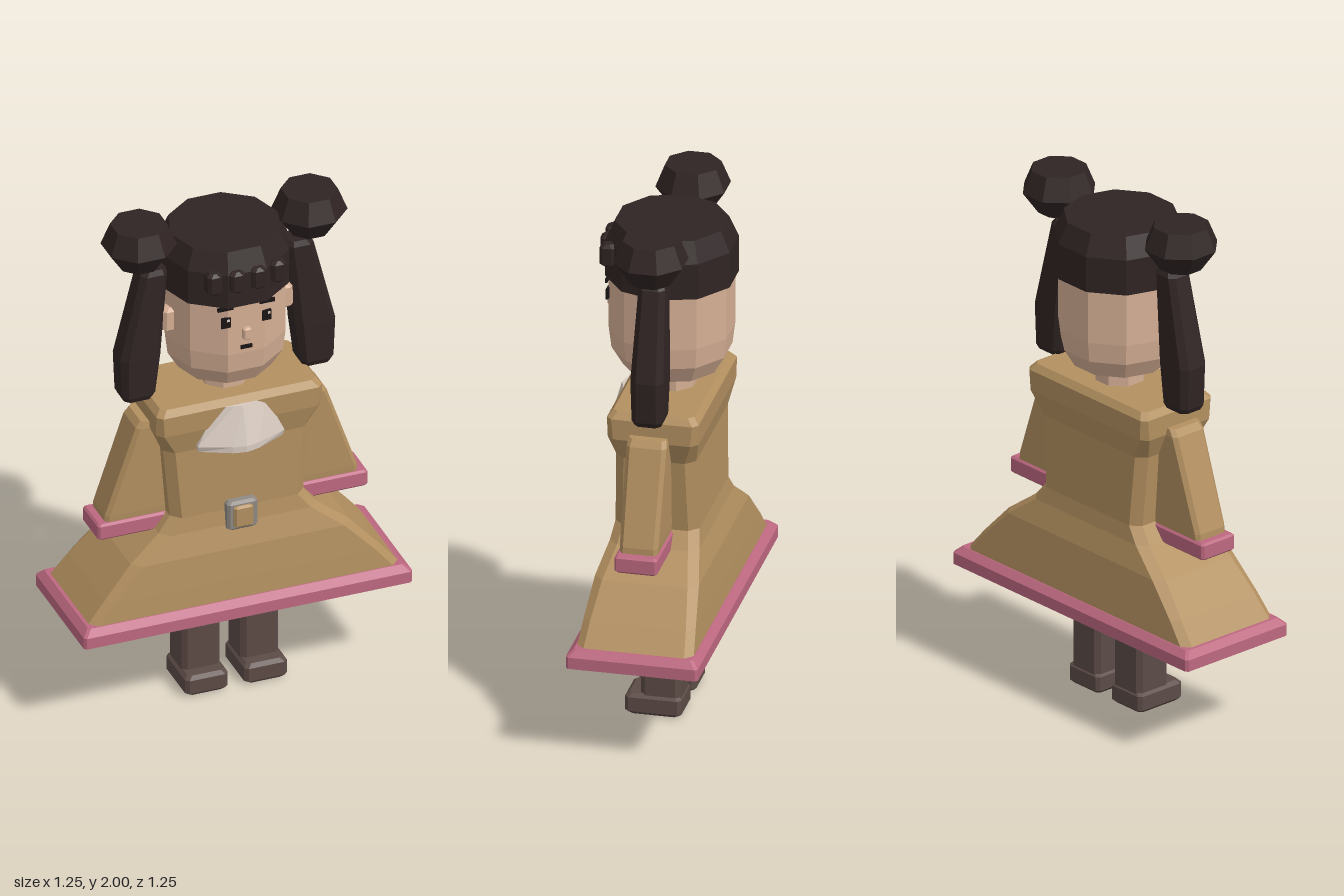
import * as THREE from 'three';

const mat = (name, color) => {
  const m = new THREE.MeshStandardMaterial({ color });
  m.name = name;
  return m;
};

// Closed faceted solid through rings of [x, y, z] points, bottom to top
function loft(rings) {
  const pos = [];
  const n = rings[0].length;
  const tri = (a, b, c) => pos.push(...a, ...b, ...c);
  for (let k = 0; k + 1 < rings.length; k++) {
    const lo = rings[k], hi = rings[k + 1];
    for (let i = 0; i < n; i++) {
      const j = (i + 1) % n;
      tri(lo[i], lo[j], hi[j]);
      tri(lo[i], hi[j], hi[i]);
    }
  }
  const bottom = rings[0], top = rings[rings.length - 1];
  for (let i = 1; i + 1 < n; i++) {
    tri(bottom[0], bottom[i + 1], bottom[i]);
    tri(top[0], top[i], top[i + 1]);
  }
  const g = new THREE.BufferGeometry();
  g.setAttribute('position', new THREE.Float32BufferAttribute(pos, 3));
  g.computeVertexNormals();
  return g;
}

// Rectangle with cut corners at height y
const rect = (y, x0, x1, z0, z1, c) => [
  [x0 + c, z1], [x1 - c, z1], [x1, z1 - c], [x1, z0 + c],
  [x1 - c, z0], [x0 + c, z0], [x0, z0 + c], [x0, z1 - c],
].map(([x, z]) => [x, y, z]);

// Sections [y, x0, x1, z0, z1, cut], mirrored when side is -1
const block = (sections, side = 1) => loft(sections.map(([y, a, b, z0, z1, c]) =>
  side > 0 ? rect(y, a, b, z0, z1, c) : rect(y, -b, -a, z0, z1, c)));

// Box with bevelled edges
const bevelBox = (x0, x1, y0, y1, z0, z1, c, side = 1) => block([
  [y0, x0 + c, x1 - c, z0 + c, z1 - c, c], [y0 + c, x0, x1, z0, z1, c],
  [y1 - c, x0, x1, z0, z1, c], [y1, x0 + c, x1 - c, z0 + c, z1 - c, c]], side);

// Faceted solid of revolution with a flat side to the front
function turned(profile, sides) {
  const g = new THREE.LatheGeometry(profile.map(([r, y]) => new THREE.Vector2(r, y)),
    sides, Math.PI / sides).toNonIndexed();
  g.computeVertexNormals();
  return g;
}

export function createModel() {
  const coat = mat('coat tan', 0xb39060);
  const trim = mat('trim pink', 0xbd6880);
  const hair = mat('hair dark brown', 0x2f2423);
  const skin = mat('skin', 0xd6af95);
  const boot = mat('boot brown', 0x5c4b46);
  const cloth = mat('collar white', 0xd8cbc1);
  const metal = mat('buckle grey', 0x8f8984);
  const ink = mat('face black', 0x191415);

  const model = new THREE.Group();
  const body = new THREE.Group();
  body.name = 'girl';
  body.rotation.y = Math.PI / 4;
  model.add(body);
  const add = (name, geometry, material, x = 0, y = 0, z = 0) => {
    const m = new THREE.Mesh(geometry, material);
    m.name = name;
    m.position.set(x, y, z);
    body.add(m);
    return m;
  };
  const plate = (name, w, h, d, material, x, y, z) =>
    add(name, new THREE.BoxGeometry(w, h, d), material, x, y, z);

  // Coat: flared skirt, narrow waist, square shoulders
  add('coat', block([
    [0.44, 0.615, 0.22, 0.03], [0.53, 0.54, 0.21, 0.03], [0.65, 0.43, 0.195, 0.035],
    [0.74, 0.31, 0.168, 0.035], [0.8, 0.262, 0.158, 0.035], [1.08, 0.285, 0.15, 0.035],
    [1.17, 0.325, 0.17, 0.025], [1.25, 0.325, 0.172, 0.02], [1.275, 0.305, 0.152, 0.02],
  ].map(([y, x, z, c]) => [y, -x, x, -z, z, c])), coat);
  add('hem', block([
    [0.38, 0.645, 0.248, 0.01], [0.425, 0.645, 0.248, 0.01], [0.45, 0.62, 0.223, 0.01],
  ].map(([y, x, z, c]) => [y, -x, x, -z, z, c])), trim);

  // Collar with a raised middle
  const collarRing = (y, w, m, zSide, zMid) => [
    [-w, y, zSide], [-m, y, zMid], [0, y, zMid + 0.01], [m, y, zMid],
    [w, y, zSide], [w, y, 0.12], [-w, y, 0.12]];
  add('collar', loft([collarRing(1.075, 0.165, 0.05, 0.165, 0.22),
    collarRing(1.1, 0.17, 0.05, 0.172, 0.22),
    collarRing(1.25, 0.1, 0.025, 0.165, 0.178)]), cloth);

  // Belt buckle
  add('buckleFrame', bevelBox(-0.06, 0.06, 0.72, 0.84, 0.13, 0.19, 0.01), metal);
  add('buckleCentre', bevelBox(-0.038, 0.038, 0.735, 0.825, 0.15, 0.203, 0.008), coat);

  // Neck and head
  add('neck', turned([[0.095, 1.25], [0.095, 1.38]], 8), skin);
  add('head', turned([[0, 1.35], [0.18, 1.35], [0.222, 1.42], [0.232, 1.5],
    [0.232, 1.75], [0, 1.75]], 10), skin);
  add('hairCap', turned([[0, 1.71], [0.246, 1.71], [0.246, 1.85], [0.21, 1.93], [0, 1.93]], 10), hair);

  // Fringe blocks
  [-0.125, -0.042, 0.042, 0.125].forEach((x) => {
    const z = Math.abs(x) > 0.1 ? 0.208 : 0.225;
    add('fringe', bevelBox(x - 0.029, x + 0.029, 1.775, 1.865, z - 0.03, z + 0.03, 0.012), hair);
  });

  // Nose and mouth
  add('nose', bevelBox(-0.016, 0.016, 1.56, 1.61, 0.2, 0.24, 0.006), skin);
  plate('mouth', 0.045, 0.014, 0.009, ink, 0, 1.527, 0.223);

  // Paired parts
  for (const s of [-1, 1]) {
    const side = s > 0 ? 'left' : 'right';
    add(side + 'Leg', bevelBox(0.04, 0.19, 0.06, 0.4, -0.075, 0.075, 0.018, s), boot);
    add(side + 'Shoe', bevelBox(0.032, 0.2, 0.005, 0.088, -0.08, 0.132, 0.014, s), boot);
    add(side + 'Sleeve', block([
      [0.79, 0.24, 0.497, -0.06, 0.08, 0.012], [0.82, 0.24, 0.495, -0.062, 0.082, 0.015],
      [1.17, 0.24, 0.375, -0.065, 0.085, 0.015], [1.195, 0.24, 0.355, -0.06, 0.08, 0.015]], s), coat);
    add(side + 'Cuff', bevelBox(0.24, 0.53, 0.73, 0.797, -0.068, 0.092, 0.008, s), trim);
    add(side + 'Ear', bevelBox(0.2, 0.255, 1.535, 1.635, -0.01, 0.05, 0.012, s), skin);
    add(side + 'Bun', turned([[0, 1.83], [0.08, 1.83], [0.14, 1.915], [0.105, 2], [0, 2]], 8),
      hair, s * 0.335, 0, 0);
    add(side + 'Pigtail', block([
      [1.27, 0.295, 0.405, -0.05, 0.05, 0.018], [1.29, 0.285, 0.415, -0.058, 0.058, 0.02],
      [1.45, 0.265, 0.422, -0.062, 0.062, 0.024], [1.79, 0.235, 0.34, -0.05, 0.05, 0.02],
      [1.81, 0.24, 0.325, -0.04, 0.04, 0.018]], s), hair);
    plate(side + 'Eye', 0.036, 0.042, 0.009, ink, s * 0.08, 1.643, 0.221);
    plate(side + 'EyeGlint', 0.01, 0.01, 0.004, cloth, s * 0.08 + 0.008, 1.653, 0.225);
    plate(side + 'Brow', 0.06, 0.014, 0.009, ink, s * 0.082, 1.703, 0.221);
  }
  return model;
}
